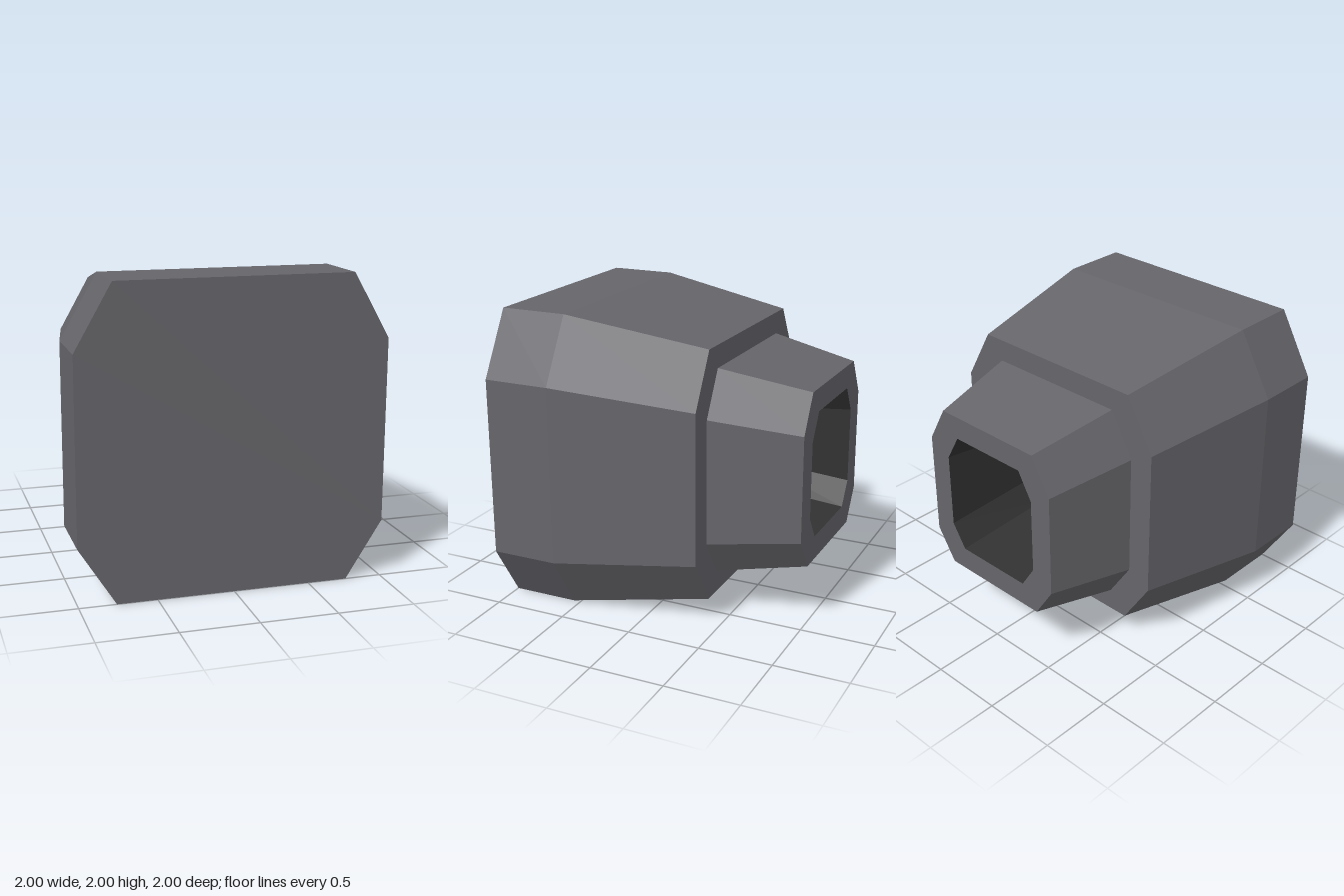
import * as THREE from 'three';

// Chamfered octagon section, counter-clockwise seen from +z.
// w: half width, t: half width of the flat top, top/bottom: y limits,
// up/down: y limits of the upright sides.
function section(z, w, t, top, up, down, bottom) {
  return [
    [w, down], [w, up], [t, top], [-t, top],
    [-w, up], [-w, down], [-t, bottom], [t, bottom],
  ].map(([x, y]) => new THREE.Vector3(x, y, z));
}

// Skins consecutive sections with flat faces; optional flat caps at either end.
function loft(rings, capFirst, capLast) {
  const points = [];
  for (let k = 0; k < rings.length - 1; k++) {
    const near = rings[k], far = rings[k + 1];
    for (let i = 0; i < 8; i++) {
      const j = (i + 1) % 8;
      points.push(near[i], far[i], near[j], near[j], far[i], far[j]);
    }
  }
  const first = rings[0], last = rings[rings.length - 1];
  for (let i = 1; i < 7; i++) {
    if (capFirst) points.push(first[0], first[i], first[i + 1]);
    if (capLast) points.push(last[0], last[i], last[i + 1]);
  }
  const geometry = new THREE.BufferGeometry().setFromPoints(points);
  geometry.computeVertexNormals();
  return geometry;
}

export function createModel() {
  const group = new THREE.Group();
  const casing = new THREE.MeshStandardMaterial({ name: 'dark grey casing', color: 0x66656a });
  const hollow = new THREE.MeshStandardMaterial({ name: 'charcoal hollow', color: 0x323232 });

  const front = section(1, 1, 0.76, 2, 1.58, 0.38, 0);
  const shoulder = section(0.55, 1, 0.76, 2, 1.58, 0.38, 0);
  const bodyEnd = section(-0.4, 0.83, 0.63, 1.845, 1.49, 0.47, 0.155);
  const neckStart = section(-0.4, 0.665, 0.5, 1.695, 1.4, 0.56, 0.305);
  const neckEnd = section(-1, 0.545, 0.405, 1.587, 1.34, 0.63, 0.413);
  const mouth = section(-1, 0.385, 0.282, 1.43, 1.25, 0.735, 0.575);
  const boreEnd = section(-0.3, 0.335, 0.245, 1.36, 1.2, 0.81, 0.65);

  const add = (name, geometry, material) => {
    const mesh = new THREE.Mesh(geometry, material);
    mesh.name = name;
    group.add(mesh);
  };

  // Main block with its rear step, tapered neck with rim, and the recess inside it
  add('body', loft([front, shoulder, bodyEnd, neckStart], true, false), casing);
  add('neck', loft([neckStart, neckEnd, mouth], false, false), casing);
  // The last cap faces the opening, so its corners run clockwise
  const bore = loft([mouth, boreEnd], false, false);
  add('bore', bore, hollow);
  add('boreFloor', loft([[...boreEnd].reverse()], true, false), hollow);

  return group;
}
